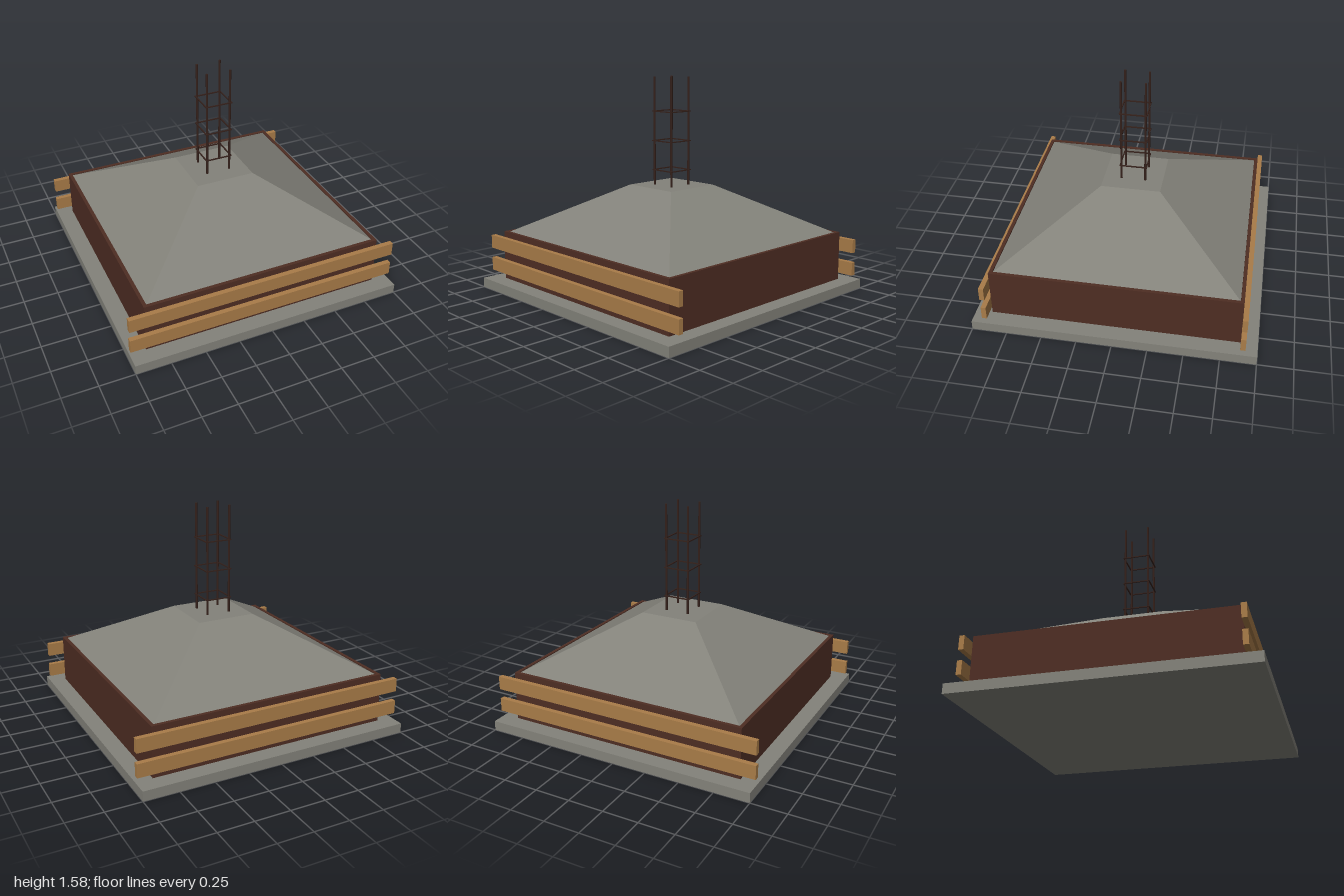
import * as THREE from 'three';

export function createModel() {
  const model = new THREE.Group();
  model.name = 'footingFormwork';

  const material = (name, color) => {
    const m = new THREE.MeshStandardMaterial({ color });
    m.name = name;
    return m;
  };
  const concrete = material('concrete', 0x83827a);
  const panelBrown = material('panelBrown', 0x4e2d23);
  const timber = material('timber', 0xa97c48);
  const steel = material('steel', 0x35211b);

  const add = (name, geometry, mat, x, y, z) => {
    const mesh = new THREE.Mesh(geometry, mat);
    mesh.name = name;
    mesh.position.set(x, y, z);
    model.add(mesh);
    return mesh;
  };
  const box = (name, mat, w, h, d, x, y, z) =>
    add(name, new THREE.BoxGeometry(w, h, d), mat, x, y, z);

  // Blinding slab and the square block of the footing
  box('baseSlab', concrete, 2, 0.07, 2, 0, 0.035, 0);
  box('footingBlock', concrete, 1.71, 0.355, 1.71, 0, 0.2475, 0);

  // Sloped top: a box whose upper corners are drawn inward
  const low = 0.425, high = 0.785;
  const slope = new THREE.BoxGeometry(1.71, high - low, 1.71);
  const p = slope.attributes.position;
  for (let i = 0; i < p.count; i++) {
    if (p.getY(i) > 0) {
      p.setX(i, Math.sign(p.getX(i)) * 0.215);
      p.setZ(i, Math.sign(p.getZ(i)) * 0.215);
    }
  }
  slope.computeVertexNormals();
  add('slopedTop', slope, concrete, 0, (low + high) / 2, 0);

  for (const s of [-1, 1]) {
    // Form panels: front and back run full width, sides fit between
    box('formPanelLong', panelBrown, 1.764, 0.36, 0.025, 0, 0.25, s * 0.8695);
    box('formPanelSide', panelBrown, 0.025, 0.36, 1.714, s * 0.8695, 0.25, 0);
    // Timber walers on front and back
    for (const y of [0.167, 0.338]) {
      box('waler', timber, 2, 0.098, 0.036, 0, y, s * 0.9);
    }
    // Column starter bars
    for (const t of [-1, 1]) {
      add('starterBar', new THREE.CylinderGeometry(0.008, 0.008, 0.835, 12), steel,
        s * 0.087, 1.1575, t * 0.087);
    }
  }

  // Square ties around the starter bars
  for (const y of [0.897, 1.111, 1.326]) {
    for (const s of [-1, 1]) {
      box('tie', steel, 0.2, 0.008, 0.008, 0, y, s * 0.096);
      box('tie', steel, 0.008, 0.008, 0.184, s * 0.096, y, 0);
    }
  }
  return model;
}
